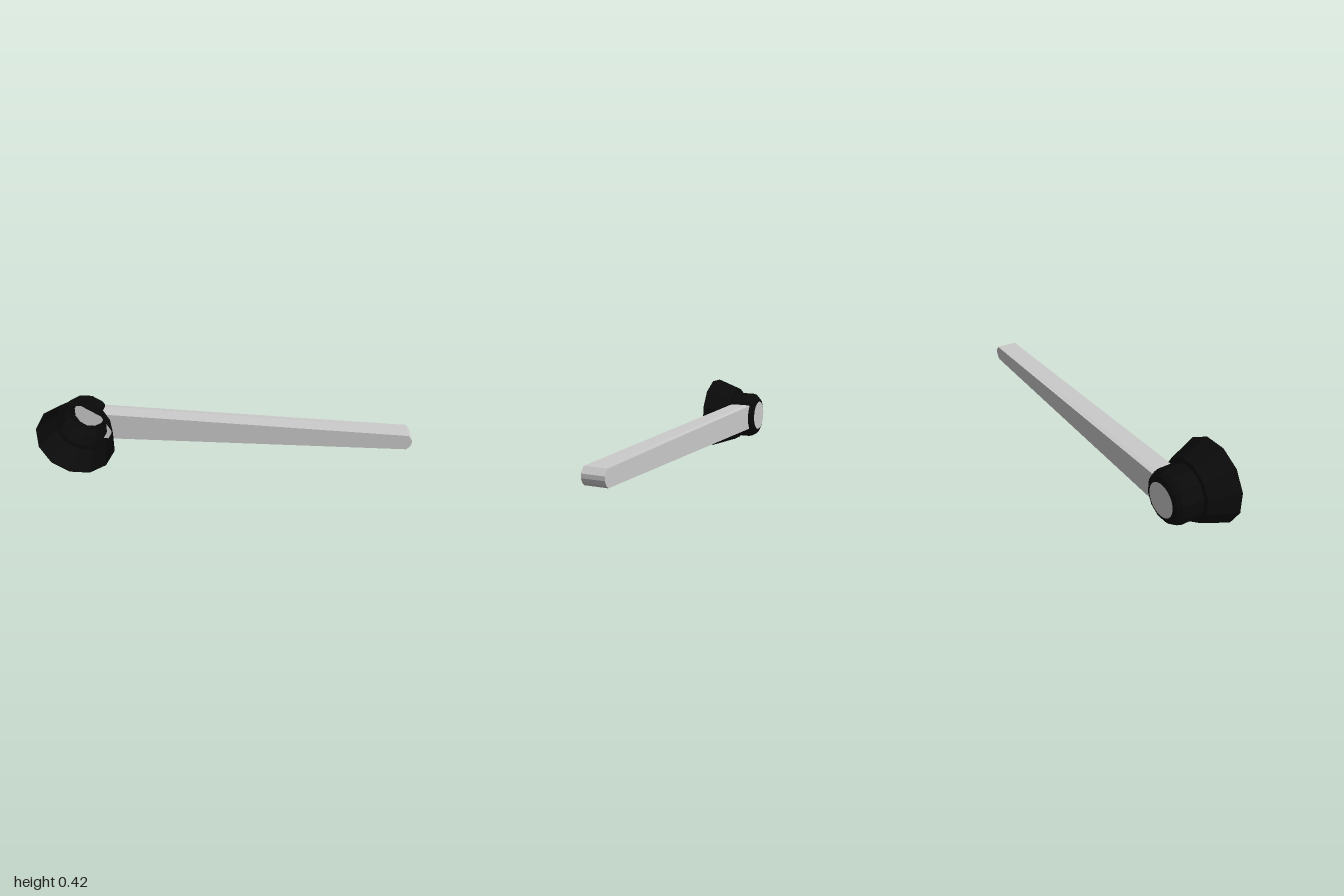
import * as THREE from 'three';

const HUB_X = -0.791, HUB_Y = 0.209;

export function createModel() {
  const group = new THREE.Group();
  group.name = 'leverHandle';
  const black = new THREE.MeshStandardMaterial({ color: 0x0a0a0a, flatShading: true, side: THREE.DoubleSide });
  const grey = new THREE.MeshStandardMaterial({ color: 0xcccccc, flatShading: true, side: THREE.DoubleSide });

  const add = (name, geometry, material) => {
    const mesh = new THREE.Mesh(geometry, material);
    mesh.name = name;
    group.add(mesh);
    return mesh;
  };

  // Hollow twelve-sided hub: flared skirt, step, barrel and rounded back edge.
  // Each pair is [flat-side radius, z].
  const corner = 1 / Math.cos(Math.PI / 12);
  const profile = [
    [0.209, 0.147], [0.156, -0.006], [0.132, -0.006], [0.132, -0.097],
    [0.126, -0.12], [0.109, -0.138], [0.085, -0.147],
  ].map(([r, z]) => new THREE.Vector2(r * corner, z));
  const hub = new THREE.LatheGeometry(profile, 12, Math.PI / 12);
  hub.rotateX(Math.PI / 2);
  hub.translate(HUB_X, HUB_Y, 0);
  add('hub', hub, black);

  // Round cap closing the back of the hub
  const cap = new THREE.CircleGeometry(0.087, 32);
  cap.rotateY(Math.PI);
  cap.translate(HUB_X, HUB_Y, -0.147);
  add('backCap', cap, grey);

  // Tapered lever: inner end follows the hub facets, outer end is chamfered
  const outline = [
    [-0.682, 0.133], [0.975, 0.156], [0.99, 0.17], [1, 0.192], [1, 0.212], [0.978, 0.24],
    [-0.682, 0.285], [HUB_X + 0.132, HUB_Y + 0.035], [HUB_X + 0.132, HUB_Y - 0.035],
  ].map(([x, y]) => new THREE.Vector2(x, y));
  const lever = new THREE.ExtrudeGeometry(new THREE.Shape(outline), {
    depth: 1, steps: 2, bevelEnabled: false,
  });
  // Set the depth levels and pull the back of the inner end in with the hub's rounding
  const levels = [-0.122, -0.097, -0.005];
  const pos = lever.attributes.position;
  for (let i = 0; i < pos.count; i++) {
    const level = Math.round(pos.getZ(i) * 2);
    pos.setZ(i, levels[level]);
    if (level === 0 && pos.getX(i) < 0) {
      pos.setX(i, HUB_X + (pos.getX(i) - HUB_X) * 0.95);
      pos.setY(i, HUB_Y + (pos.getY(i) - HUB_Y) * 0.95);
    }
  }
  lever.computeVertexNormals();
  add('lever', lever, grey);

  return group;
}
